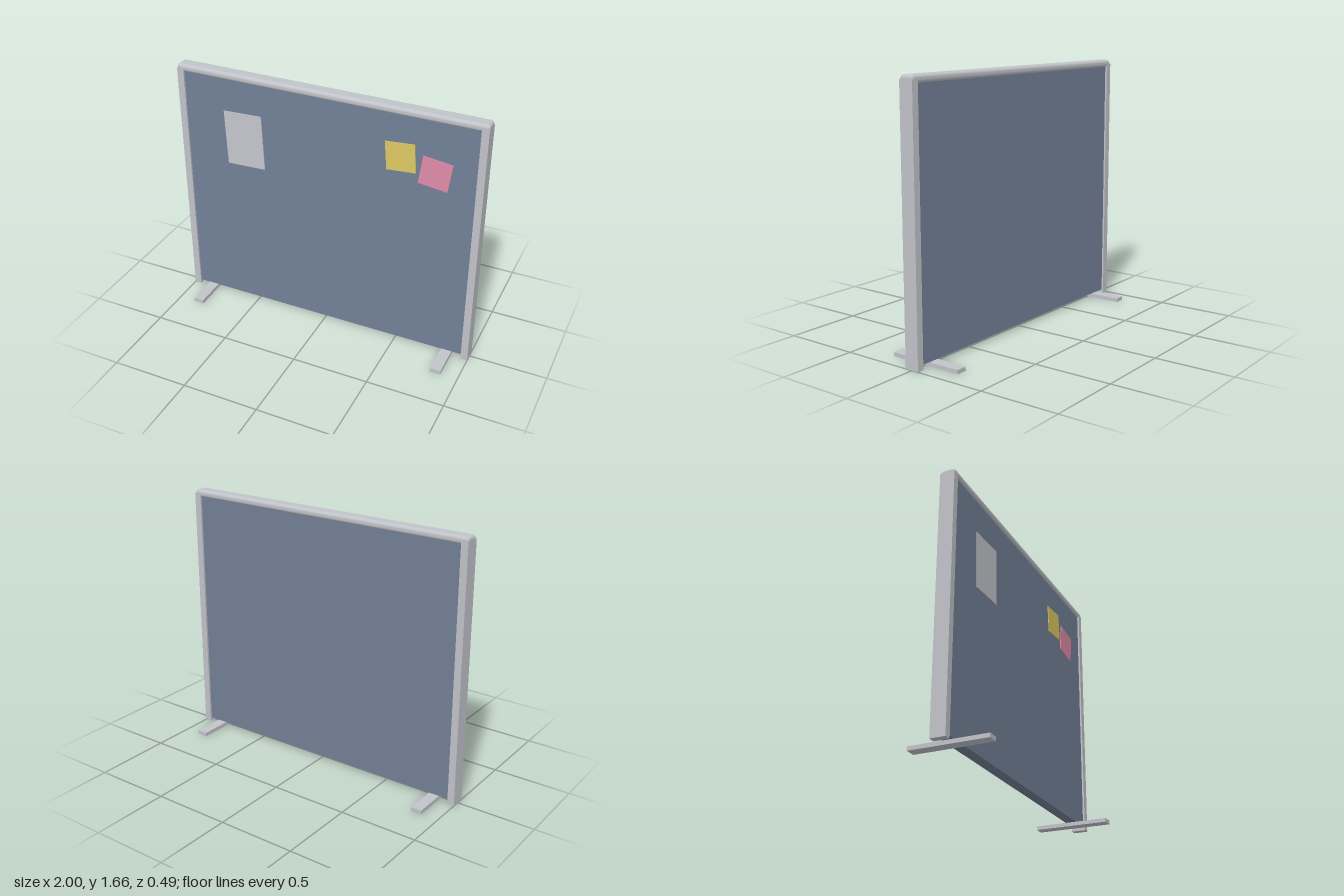
import * as THREE from 'three';
import { RoundedBoxGeometry } from 'three/addons/geometries/RoundedBoxGeometry.js';

const material = (name, color) => {
  const m = new THREE.MeshStandardMaterial({ color });
  m.name = name;
  return m;
};

export function createModel() {
  const group = new THREE.Group();
  group.name = 'partitionScreen';

  const metal = material('grey metal', 0xc0c3c9);
  const fabric = material('slate fabric', 0x728096);
  const paper = material('white paper', 0xc4c6cc);
  const yellow = material('yellow note', 0xdcc862);
  const pink = material('pink note', 0xe08aa8);

  const add = (name, geometry, mat, x, y, z = 0) => {
    const mesh = new THREE.Mesh(geometry, mat);
    mesh.name = name;
    mesh.position.set(x, y, z);
    group.add(mesh);
    return mesh;
  };

  // Fabric panel, slightly recessed in its frame
  const panelDepth = 0.07;
  add('panel', new THREE.BoxGeometry(1.91, 1.6, panelDepth), fabric, 0, 0.825);

  // Rounded cap along the top
  add('topRail', new RoundedBoxGeometry(2, 0.048, 0.094, 4, 0.02), metal, 0, 1.636);

  // Side posts and flat feet
  for (const [side, s] of [['left', 1], ['right', -1]]) {
    add(side + 'Post', new THREE.BoxGeometry(0.045, 1.635, 0.094), metal, s * 0.9775, 0.8175);
    add(side + 'Foot', new THREE.BoxGeometry(0.07, 0.025, 0.49), metal, s * 0.855, 0.0125);
  }

  // Sheets pinned to the front, each slightly tilted
  const sheets = [
    ['paperSheet', paper, 0.26, 0.365, -0.55, 1.222, 0.04],
    ['yellowNote', yellow, 0.185, 0.185, 0.487, 1.345, 0.08],
    ['pinkNote', pink, 0.185, 0.185, 0.705, 1.283, -0.13],
  ];
  for (const [name, mat, w, h, x, y, tilt] of sheets) {
    add(name, new THREE.BoxGeometry(w, h, 0.005), mat, x, y, panelDepth / 2 + 0.0025).rotation.z = tilt;
  }

  return group;
}
